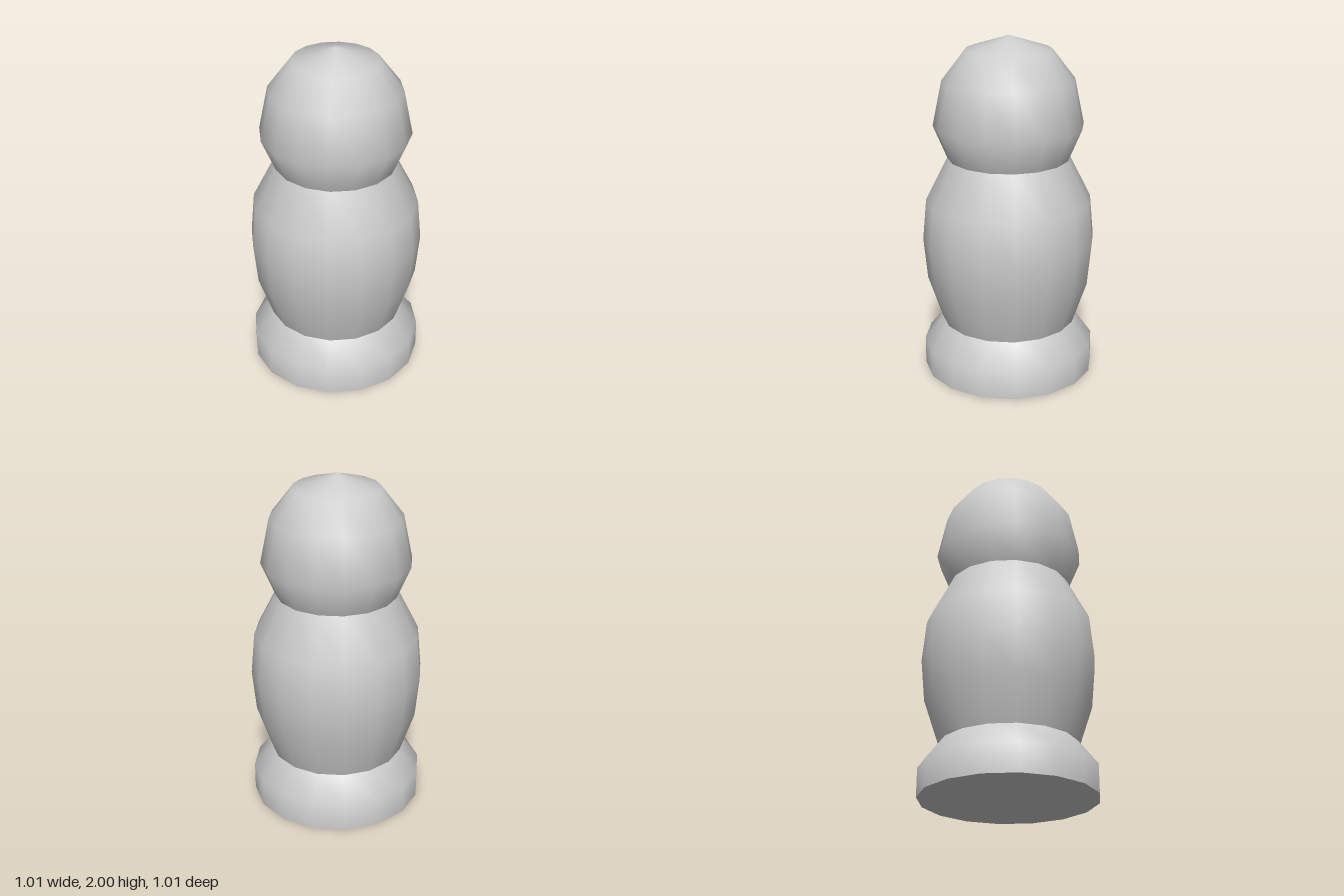
import * as THREE from 'three';

const SIDES = 16;
const material = new THREE.MeshStandardMaterial({ color: 0xcccccc });

// Turned part from [radius, height] pairs, listed bottom to top
function turned(name, profile) {
  const points = profile.map(([r, y]) => new THREE.Vector2(r, y));
  const mesh = new THREE.Mesh(new THREE.LatheGeometry(points, SIDES), material);
  mesh.name = name;
  return mesh;
}

export function createModel() {
  const model = new THREE.Group();
  model.name = 'turnedPost';

  // Flat underside, facing down
  const underside = new THREE.Mesh(new THREE.CircleGeometry(0.505, SIDES), material);
  underside.rotation.x = Math.PI / 2;
  underside.name = 'underside';

  model.add(
    underside,
    // Straight foot with a sloped shoulder
    turned('base', [[0.505, 0], [0.505, 0.165], [0.395, 0.305]]),
    // Barrel-shaped middle
    turned('body', [[0.395, 0.305], [0.48, 0.56], [0.503, 0.805], [0.48, 1.05], [0.353, 1.3]]),
    // Rounded knob with a shallow point
    turned('head', [[0.353, 1.3], [0.432, 1.49], [0.378, 1.75], [0.248, 1.92], [0, 2]])
  );
  return model;
}
